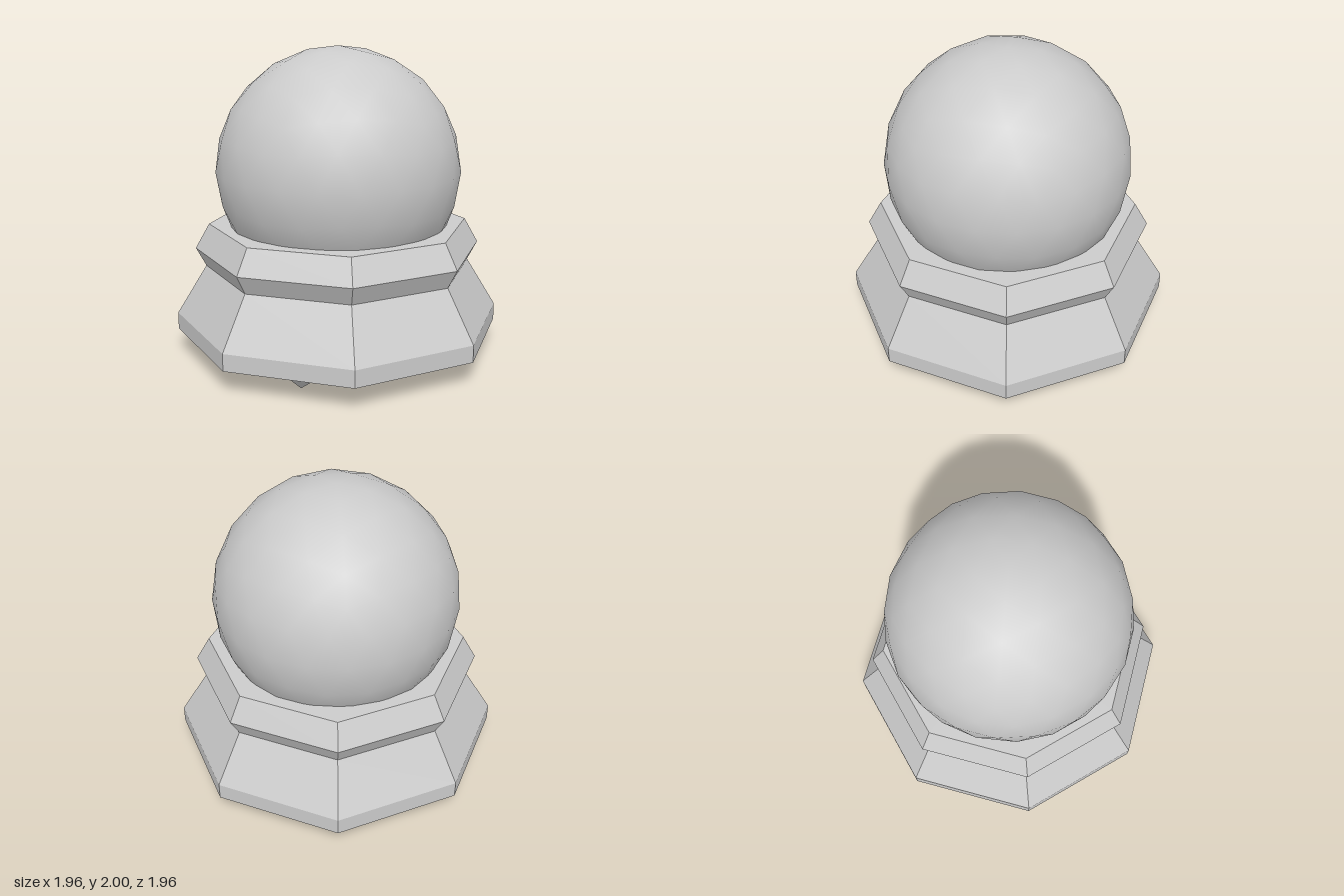
import * as THREE from 'three';

export function createModel() {
  const model = new THREE.Group();
  const smooth = new THREE.MeshStandardMaterial({ color: 0xcccccc });
  const flat = new THREE.MeshStandardMaterial({ color: 0xcccccc, flatShading: true });

  const add = (name, geometry, material) => {
    const mesh = new THREE.Mesh(geometry, material);
    mesh.name = name;
    model.add(mesh);
    return mesh;
  };
  const faceted = (geometry) => {
    const g = geometry.toNonIndexed();
    g.computeVertexNormals();
    return g;
  };

  // Globe: smooth-shaded icosphere, turned so that a vertex points straight up
  const globe = new THREE.IcosahedronGeometry(0.79, 3);
  globe.rotateZ(-Math.atan(2 / (1 + Math.sqrt(5))));
  add('globe', globe, smooth).position.y = 1.21;

  // Octagonal base: [distance from axis to flat side, height], closed at both ends
  const profile = [
    [0, 0.15], [0.98, 0.15], [0.98, 0.26], [0.8, 0.58],
    [0.86, 0.7], [0.777, 0.86], [0, 0.86],
  ].map(([apothem, y]) => new THREE.Vector2(apothem / Math.cos(Math.PI / 8), y));
  add('base', faceted(new THREE.LatheGeometry(profile, 8, Math.PI / 8)), flat);

  // Four inverted pyramid feet, sides parallel to the axes
  const foot = new THREE.ConeGeometry(0.15 * Math.SQRT2, 0.15, 4);
  foot.rotateY(Math.PI / 4);
  foot.rotateX(Math.PI);
  const footGeometry = faceted(foot);
  for (const x of [-1, 1]) {
    for (const z of [-1, 1]) {
      const name = (z > 0 ? 'front' : 'back') + (x > 0 ? 'Left' : 'Right') + 'Foot';
      add(name, footGeometry, flat).position.set(x * 0.53, 0.075, z * 0.53);
    }
  }

  return model;
}
